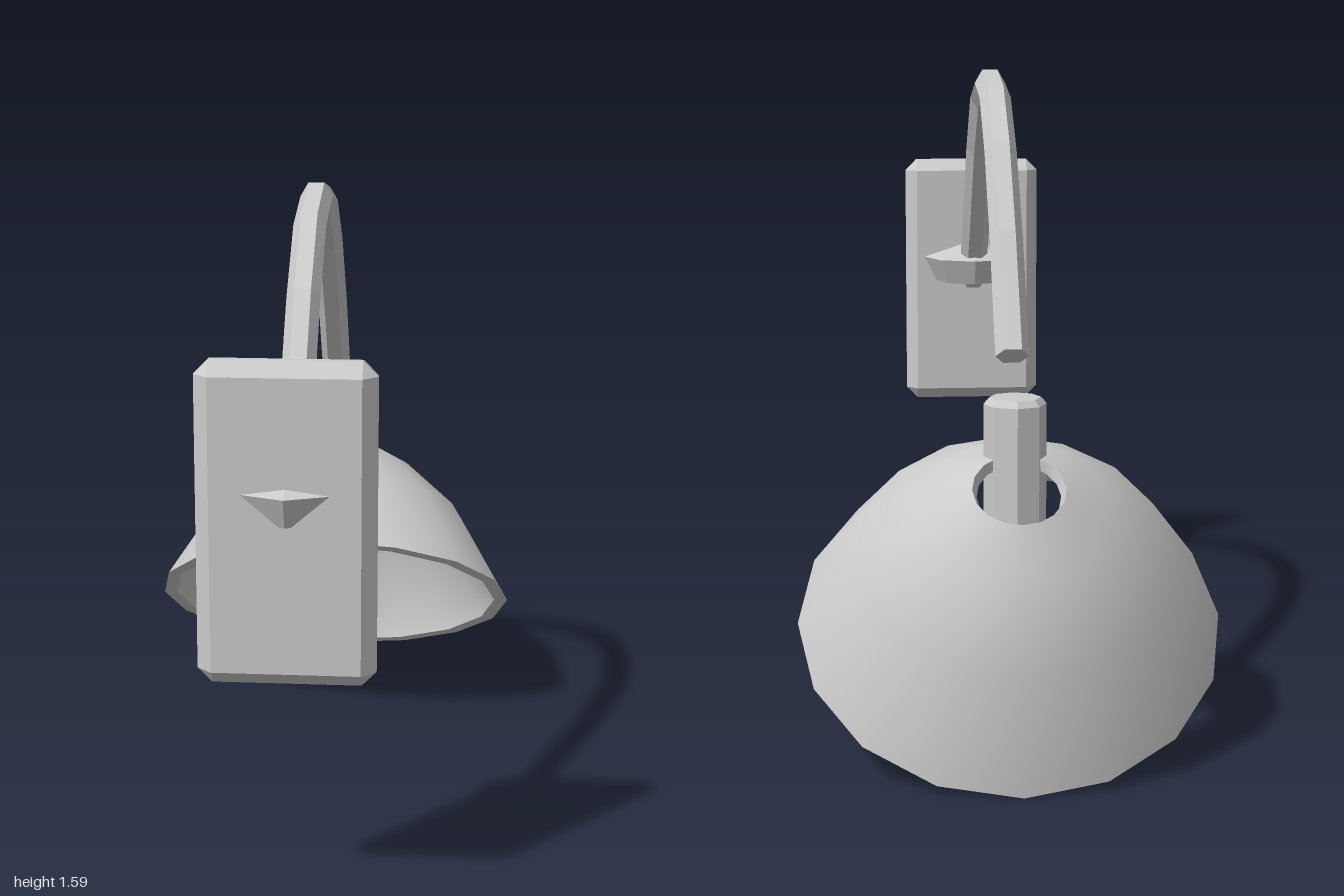
import * as THREE from 'three';
import { toCreasedNormals } from 'three/addons/utils/BufferGeometryUtils.js';
import { ConvexGeometry } from 'three/addons/geometries/ConvexGeometry.js';

const smooth = new THREE.MeshStandardMaterial({ color: 0xcccccc });
const flat = new THREE.MeshStandardMaterial({ color: 0xcccccc, flatShading: true });

function part(name, geometry, material = flat) {
  const mesh = new THREE.Mesh(geometry, material);
  mesh.name = name;
  return mesh;
}

function lathe(profile, sides) {
  return new THREE.LatheGeometry(profile.map(([r, y]) => new THREE.Vector2(r, y)), sides);
}

// Box with every edge cut at 45 degrees
function chamferedBox(w, h, d, c) {
  const points = [];
  for (const x of [-1, 1]) for (const y of [-1, 1]) for (const z of [-1, 1]) {
    for (const [cx, cy, cz] of [[0, c, c], [c, 0, c], [c, c, 0]]) {
      points.push(new THREE.Vector3(x * (w / 2 - cx), y * (h / 2 - cy), z * (d / 2 - cz)));
    }
  }
  return new ConvexGeometry(points);
}

// Hexagonal arm swept through its joints, closed at both ends
function createArm() {
  const arm = new THREE.Group();
  arm.name = 'arm';
  const joints = [
    [0.95, 0.855], [1.172, 0.655], [1.372, 0.485], [1.517, 0.305], [1.563, 0.11],
    [1.53, -0.08], [1.405, -0.26], [1.21, -0.44], [0.953, -0.625],
  ].map(([y, z]) => new THREE.Vector3(0, y, z));
  const curve = new THREE.CatmullRomCurve3(joints);
  // Place one ring exactly on each joint
  curve.getPointAt = curve.getPoint;
  curve.getTangentAt = curve.getTangent;
  arm.add(part('armTube', new THREE.TubeGeometry(curve, joints.length - 1, 0.04, 6)));
  for (const t of [0, 1]) {
    const cap = part('armEnd', new THREE.CircleGeometry(0.04, 6));
    const outward = curve.getTangent(t).multiplyScalar(t ? 1 : -1);
    cap.position.copy(curve.getPoint(t));
    cap.lookAt(cap.position.clone().add(outward));
    arm.add(cap);
  }
  return arm;
}

export function createModel() {
  const lamp = new THREE.Group();
  lamp.name = 'wallLamp';

  // Wall plate
  const plate = part('wallPlate', chamferedBox(0.4, 0.735, 0.085, 0.033));
  plate.position.set(0, 0.944, 0.917);
  lamp.add(plate);

  // Octagonal mount that passes through the plate
  const mount = part('armMount', lathe([[0, 0.948], [0.11, 0.948], [0.145, 1.02], [0, 1.068]], 8));
  mount.position.z = 0.855;
  lamp.add(mount);

  lamp.add(createArm());

  // Socket post running down through the shade to the bulb
  const post = part('socket', lathe([[0, 0.57], [0.073, 0.57], [0.073, 0.855], [0.06, 0.87], [0, 0.87]], 8));
  post.position.z = -0.7;
  lamp.add(post);

  const bulb = part('bulb', new THREE.SphereGeometry(0.09, 10, 8), smooth);
  bulb.position.set(0, 0.5, -0.7);
  lamp.add(bulb);

  // Tilted shade: outer wall up to the top hole, then inner wall back to the rim
  const shadeProfile = [
    [0.51, 0], [0.37, 0.25], [0.22, 0.395], [0.107, 0.467],
    [0.096, 0.442], [0.2, 0.37], [0.34, 0.235], [0.455, 0.05], [0.472, 0], [0.51, 0],
  ];
  const shade = part('shade', toCreasedNormals(lathe(shadeProfile, 16), 0.65), smooth);
  shade.position.set(0, 0.298, -0.553);
  shade.rotation.x = THREE.MathUtils.degToRad(-35);
  lamp.add(shade);

  return lamp;
}
